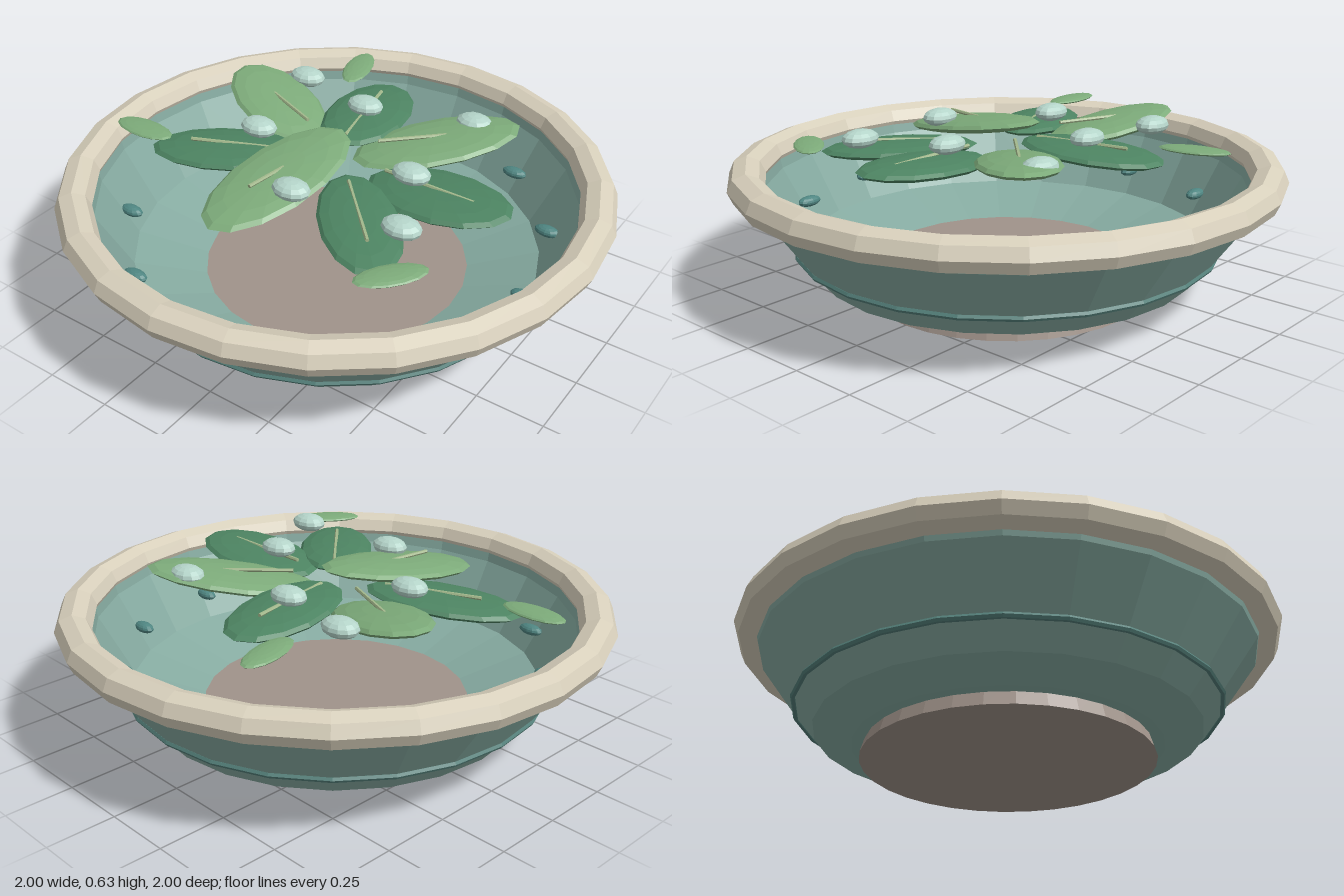
import * as THREE from 'three';

const SIDES = 24;

export function createModel() {
  const model = new THREE.Group();
  const mat = (color) => new THREE.MeshStandardMaterial({ color, flatShading: true, side: THREE.DoubleSide });
  const glaze = mat(0x86aba1), sand = mat(0xd8d0bc), clay = mat(0xa0938a), band = mat(0x54807a);
  const darkLeaf = mat(0x4d8462), lightLeaf = mat(0x7dab7a), veinMat = mat(0xa3b88c);
  const studMat = mat(0x4f8682), dropMat = mat(0xb5d5ca);

  const add = (name, geometry, material, parent = model) => {
    const mesh = new THREE.Mesh(geometry, material);
    mesh.name = name;
    parent.add(mesh);
    return mesh;
  };

  // Bowl: one closed profile, up the outside and down the inside
  const profile = [[0.49, 0.05], [0.56, 0.05], [0.70, 0.10], [0.77, 0.185], [0.91, 0.38], [0.93, 0.45],
    [0.88, 0.45], [0.87, 0.40], [0.75, 0.18], [0.49, 0.10]];
  add('bowl', new THREE.LatheGeometry(profile.map(([r, y]) => new THREE.Vector2(r, y)), SIDES), glaze);

  // Foot, its top showing as the disc in the floor
  add('foot', new THREE.CylinderGeometry(0.5, 0.53, 0.1, 32), clay).position.y = 0.05;

  // Rolled rim and the thin raised band round the outside
  const hoop = (name, radius, tube, sides, y, material) => {
    const geometry = new THREE.TorusGeometry(radius, tube, sides, SIDES);
    geometry.rotateX(Math.PI / 2);
    const mesh = add(name, geometry, material);
    mesh.position.y = y;
    return mesh;
  };
  hoop('rim', 0.935, 0.065, 8, 0.45, sand).scale.y = 0.92;
  hoop('raisedBand', 0.772, 0.011, 6, 0.185, band);

  // Twelve flattened studs round the inner wall
  const ball = new THREE.SphereGeometry(1, 12, 8);
  for (let i = 0; i < 12; i++) {
    const a = (i / 12) * Math.PI * 2;
    const stud = add('stud', ball, studMat);
    stud.position.set(Math.cos(a) * 0.77, 0.275, Math.sin(a) * 0.77);
    stud.scale.set(0.05, 0.02, 0.027);
  }

  // Flattened leaf, pointing along (dx, dz) and tilted up at its outer end
  const leafShape = new THREE.SphereGeometry(1, 14, 8);
  const leaf = (name, [x, y, z], [dx, dz], length, width, thickness, tilt, material) => {
    const mesh = add(name, leafShape, material);
    mesh.position.set(x, y, z);
    mesh.rotation.set(0, Math.atan2(-dz, dx), tilt, 'YZX');
    mesh.scale.set(length, thickness, width);
  };

  // Main leaves: centre, direction, half length, half width, tilt, material
  const leaves = [
    [[-0.08, 0.565, 0.24], [-0.14, 1], 0.33, 0.165, -0.15, lightLeaf],
    [[0.25, 0.565, -0.27], [0.43, -0.42], 0.31, 0.15, 0.13, lightLeaf],
    [[-0.39, 0.57, -0.17], [-0.93, -0.38], 0.26, 0.15, 0.17, lightLeaf],
    [[-0.08, 0.55, -0.32], [-0.2, -1], 0.27, 0.155, -0.05, darkLeaf],
    [[0.42, 0.545, 0], [1, 0], 0.275, 0.16, 0.06, darkLeaf],
    [[0.28, 0.535, 0.27], [0.7, 0.72], 0.28, 0.14, -0.04, darkLeaf],
    [[-0.37, 0.535, 0.16], [-0.93, 0.4], 0.285, 0.14, -0.05, darkLeaf],
  ];
  for (const [centre, dir, length, width, tilt, material] of leaves) {
    leaf('leaf', centre, dir, length, width, 0.03, tilt, material);
    // Level midrib, set slightly toward the middle of the bowl
    const [x, y, z] = centre, [dx, dz] = dir, d = Math.hypot(dx, dz);
    const rib = new THREE.CylinderGeometry(0.007, 0.007, 0.35, 6);
    rib.rotateZ(Math.PI / 2);
    const vein = add('leafVein', rib, veinMat);
    vein.position.set(x - (dx / d) * 0.04, y + 0.028, z - (dz / d) * 0.04);
    vein.rotation.y = Math.atan2(-dz, dx);
  }

  // Small loose leaves
  leaf('smallLeaf', [-0.69, 0.558, 0.25], [1, 0], 0.125, 0.055, 0.012, 0, lightLeaf);
  leaf('smallLeaf', [-0.31, 0.558, -0.595], [-0.3, -1], 0.13, 0.055, 0.012, 0, lightLeaf);
  leaf('smallLeaf', [0.53, 0.558, 0.47], [0.62, -0.78], 0.125, 0.055, 0.012, 0, lightLeaf);

  // Dew drops
  const drops = [[-0.39, -0.36], [-0.08, -0.3], [0.32, -0.42], [0.31, 0], [0.45, 0.285], [0.03, 0.31], [-0.31, 0.05]];
  for (const [x, z] of drops) {
    const drop = add('dewDrop', ball, dropMat);
    drop.position.set(x, 0.597, z);
    drop.scale.set(0.072, 0.033, 0.055);
  }
  return model;
}
